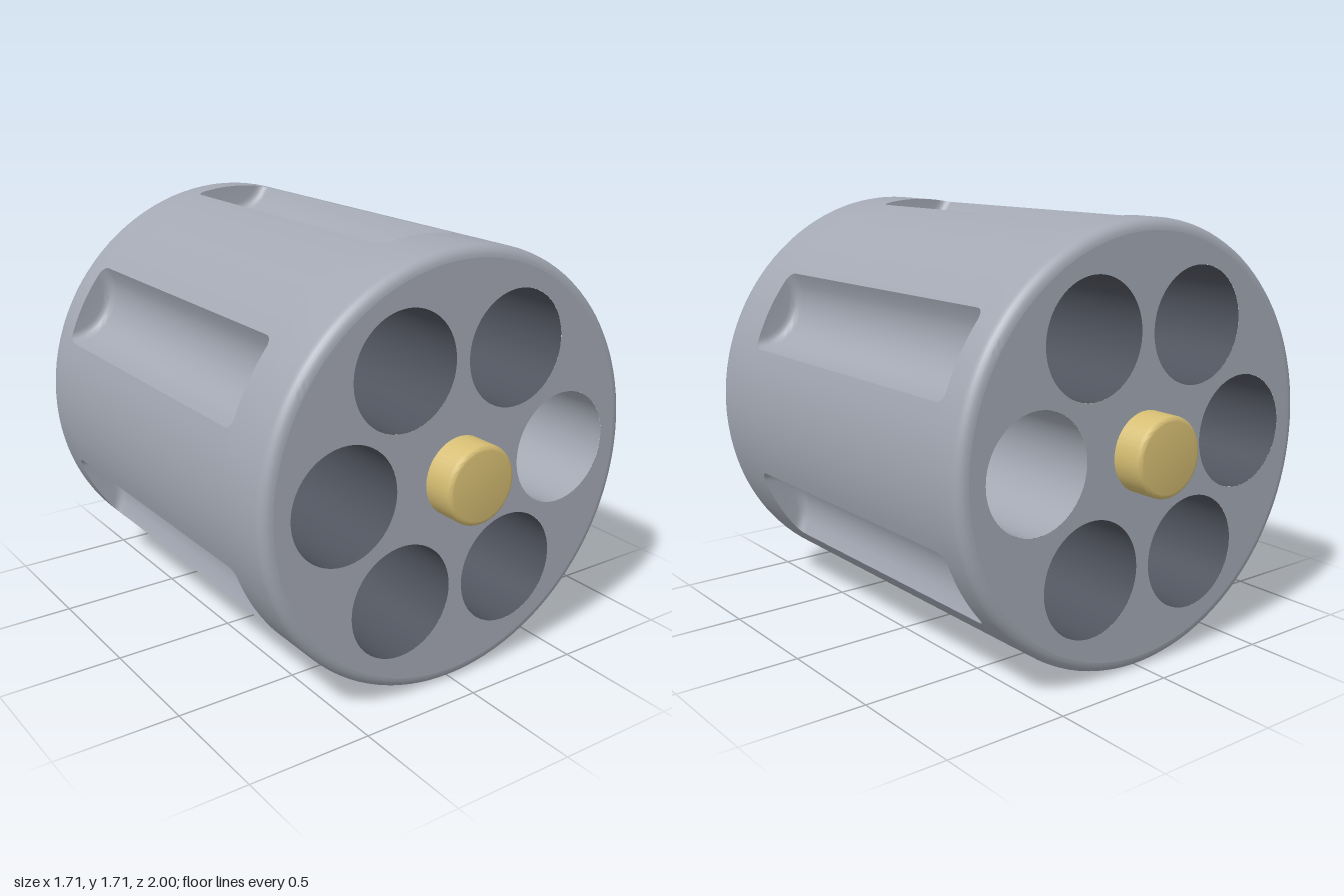
import * as THREE from 'three';
import { mergeGeometries, toCreasedNormals } from 'three/addons/utils/BufferGeometryUtils.js';

const R = 0.853, HALF = 0.87, EDGE = 0.045;              // drum radius, half length, rounded rim
const BORE = 0.226, BORE_RING = 0.513;                   // chambers
const CUT = 0.2, CUT_DIST = 0.932, FILLET = 0.04;        // flute cutter
const FLUTE_FRONT = 0.61, FLUTE_BACK = -0.73;
const STEP = Math.PI / 3;

// One cross-section of the drum: radius r, cut by six round flutes of radius c.
// The edge angle follows guide so that the flute outline stays sharp.
function ring(z, r, c, guide = c) {
  const pts = [];
  const a = Math.acos((R * R + CUT_DIST ** 2 - guide * guide) / (2 * R * CUT_DIST));
  const nFlute = 14, nLand = 12;
  for (let k = 0; k < 6; k++) {
    const mid = Math.PI / 6 + k * STEP;
    for (let i = 0; i < nFlute; i++) {
      const t = a * (2 * i / nFlute - 1);
      const s = Math.max(0, c * c - (CUT_DIST * Math.sin(t)) ** 2);
      const rr = c > 0 ? Math.min(r, CUT_DIST * Math.cos(t) - Math.sqrt(s)) : r;
      pts.push(new THREE.Vector3(rr * Math.cos(mid + t), rr * Math.sin(mid + t), z));
    }
    for (let i = 0; i < nLand; i++) {
      const t = mid + a + (STEP - 2 * a) * i / nLand;
      pts.push(new THREE.Vector3(r * Math.cos(t), r * Math.sin(t), z));
    }
  }
  return pts;
}

// Outer skin lofted through the cross-sections from front to back
function skin(rings) {
  const n = rings[0].length, index = [];
  for (let i = 0; i < rings.length - 1; i++) {
    for (let j = 0; j < n; j++) {
      const a = i * n + j, b = i * n + (j + 1) % n;
      index.push(a, a + n, b, b, a + n, b + n);
    }
  }
  const g = new THREE.BufferGeometry().setFromPoints(rings.flat());
  g.setIndex(index);
  return toCreasedNormals(g, 0.6);
}

function drumRings() {
  const small = CUT - FILLET, rings = [], steps = 6;
  const rim = (i) => {
    const t = i / steps * Math.PI / 2;
    return [HALF - EDGE + EDGE * Math.cos(t), R - EDGE + EDGE * Math.sin(t)];
  };
  for (let i = 0; i <= steps; i++) rings.push(ring(rim(i)[0], rim(i)[1], 0, small));
  rings.push(ring(FLUTE_FRONT, R, 0, small));
  const fillet = (i) => {
    const t = i / steps * Math.PI / 2;
    return [FILLET * (1 - Math.cos(t)), small + FILLET * Math.sin(t)];
  };
  for (let i = 0; i <= steps; i++) rings.push(ring(FLUTE_FRONT - fillet(i)[0], R, fillet(i)[1]));
  for (let i = steps; i >= 0; i--) rings.push(ring(FLUTE_BACK + fillet(i)[0], R, fillet(i)[1]));
  rings.push(ring(FLUTE_BACK, R, 0, small));
  for (let i = steps; i >= 0; i--) rings.push(ring(-rim(i)[0], rim(i)[1], 0, small));
  return rings;
}

// Flat end with six round openings
function endFace(outline) {
  const shape = new THREE.Shape(outline.map((p) => new THREE.Vector2(p.x, p.y)));
  for (let k = 0; k < 6; k++) {
    const hole = new THREE.Path();
    hole.absarc(BORE_RING * Math.cos(k * STEP), BORE_RING * Math.sin(k * STEP), BORE, 0, Math.PI * 2, true);
    shape.holes.push(hole);
  }
  return new THREE.ShapeGeometry(shape, 48).translate(0, 0, HALF);
}

// Inward-facing chamber wall
function boreWall() {
  return new THREE.LatheGeometry([new THREE.Vector2(BORE, HALF), new THREE.Vector2(BORE, -HALF)], 48).rotateX(Math.PI / 2);
}

export function createModel() {
  const steel = new THREE.MeshStandardMaterial({ color: 0xa3a8b3 });
  steel.name = 'steel';
  const dark = new THREE.MeshStandardMaterial({ color: 0x50545e });
  dark.name = 'darkSteel';
  const brass = new THREE.MeshStandardMaterial({ color: 0xd4bc72 });
  brass.name = 'brass';

  const model = new THREE.Group();
  model.name = 'flutedDrum';
  const add = (name, geometry, material) => {
    const mesh = new THREE.Mesh(geometry, material);
    mesh.name = name;
    mesh.position.y += R;
    model.add(mesh);
    return mesh;
  };

  // Drum body
  const rings = drumRings();
  add('drumShell', skin(rings), steel);
  const face = endFace(rings[0]);
  add('endFaces', mergeGeometries([face, face.clone().rotateY(Math.PI)]), steel);

  // Chambers: the one on the left is bare, the others are dark
  for (let k = 0; k < 6; k++) {
    const wall = add('chamber' + (k + 1), boreWall(), k === 0 ? steel : dark);
    wall.position.x = BORE_RING * Math.cos(k * STEP);
    wall.position.y += BORE_RING * Math.sin(k * STEP);
  }

  // Centre pin with softened ends
  const r = 0.155, e = 0.02, profile = [new THREE.Vector2(0, -1)];
  for (const end of [-1, 1]) {
    for (let i = 0; i <= 4; i++) {
      const t = (end < 0 ? i - 4 : i) / 4 * Math.PI / 2;
      profile.push(new THREE.Vector2(r - e + e * Math.cos(t), end * (1 - e) + e * Math.sin(t)));
    }
  }
  profile.push(new THREE.Vector2(0, 1));
  const pin = new THREE.LatheGeometry(profile, 48).rotateX(Math.PI / 2);
  add('centrePin', toCreasedNormals(pin, 0.6), brass);

  return model;
}
